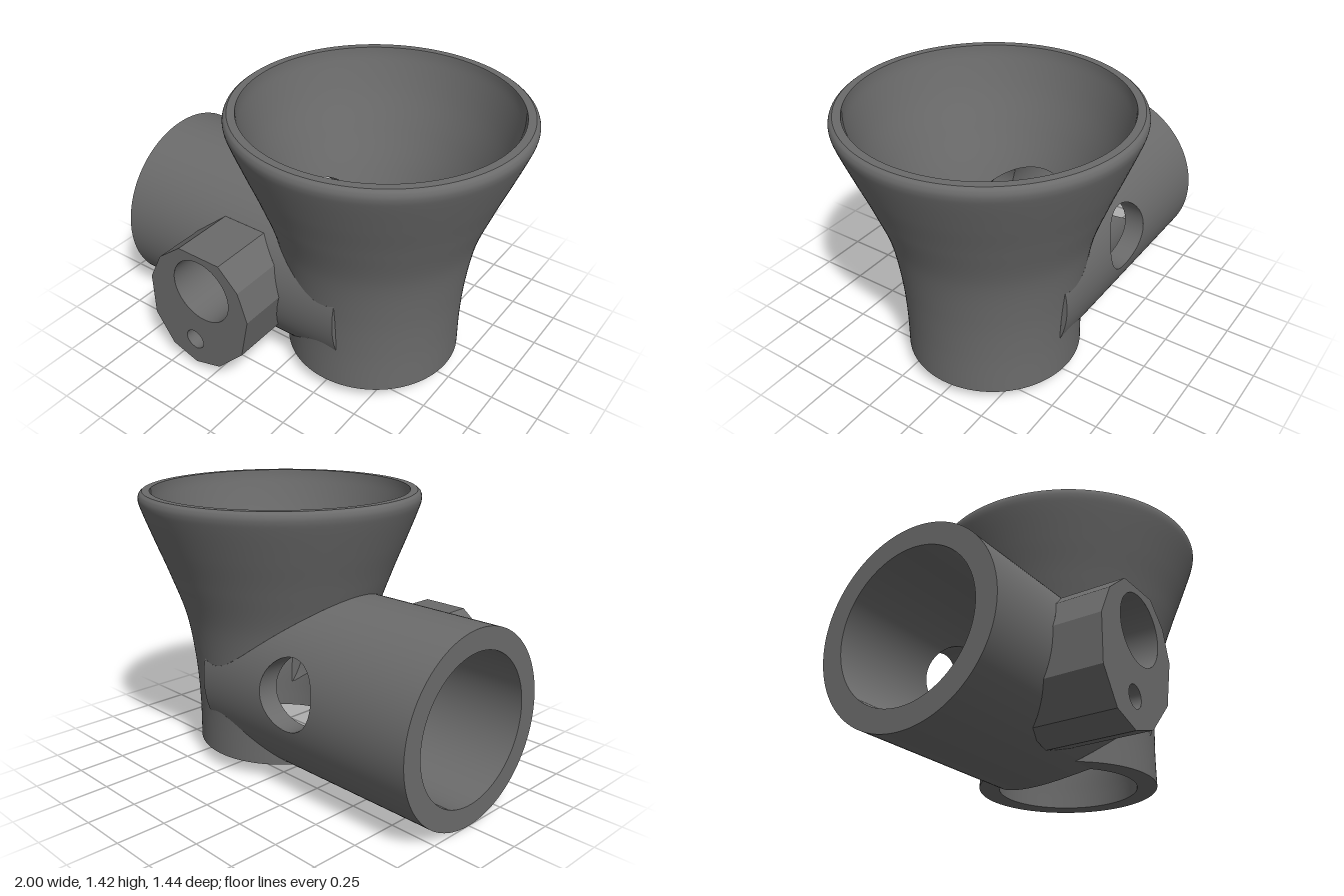
import * as THREE from 'three';
import { mergeGeometries } from 'three/addons/utils/BufferGeometryUtils.js';

const FX = 0.277;            // axis of the upright funnel (x)
const TY = 0.48;             // axis of the side tube (y)
const HOLE = [-0.26, 0.56];  // centre of the cross hole (x, y)
const PILOT = [-0.335, 0.215];

// Funnel profiles: radius, height
const spline = (pts) => new THREE.SplineCurve(pts.map((p) => new THREE.Vector2(...p))).getPoints(90);
const outerProfile = spline([[0.45, 0.08], [0.45, 0.3], [0.465, 0.53], [0.504, 0.775], [0.58, 1.0],
  [0.648, 1.175], [0.705, 1.325], [0.721, 1.38], [0.716, 1.41], [0.7, 1.425]]);
const innerProfile = spline([[0.35, 0], [0.35, 0.15], [0.35, 0.32], [0.37, 0.5], [0.4, 0.66], [0.455, 0.83],
  [0.53, 1.02], [0.6, 1.2], [0.65, 1.36], [0.662, 1.425]]);
function radiusAt(profile, y) {
  const i = profile.findIndex((p) => p.y >= y);
  if (i === 0) return profile[0].x;
  if (i < 0) return profile[profile.length - 1].x;
  const a = profile[i - 1], b = profile[i];
  return a.x + ((b.x - a.x) * (y - a.y)) / (b.y - a.y);
}

// Outline of the front boss, counter-clockwise
const bossOutline = [[-0.38, 0.77], [-0.52, 0.66], [-0.6, 0.505], [-0.6, 0.27], [-0.495, 0.11], [-0.34, 0.06],
  [-0.18, 0.11], [-0.02, 0.275], [0.03, 0.505], [-0.02, 0.66], [-0.13, 0.77]];
const BACK = 0.27, FRONT = 0.72;

// Solids as functions that are positive inside
const tubeSolid = (p) => Math.min(0.48 - Math.hypot(p.y - TY, p.z), 0.35 - p.x);
const tubeBore = (p) => Math.min(0.372 - Math.hypot(p.y - TY, p.z), 0.5 - p.x);
const funnelSolid = (p) => Math.min(radiusAt(outerProfile, p.y) - Math.hypot(p.x - FX, p.z), p.y - 0.08);
const funnelBore = (p) => radiusAt(innerProfile, p.y) - Math.hypot(p.x - FX, p.z);
const crossHole = (p) => 0.175 - Math.hypot(p.x - HOLE[0], p.y - HOLE[1]);
const bossShape = (p) => Math.min(...bossOutline.map((a, i) => {
  const b = bossOutline[(i + 1) % bossOutline.length];
  const dx = b[0] - a[0], dy = b[1] - a[1];
  return (dx * (p.y - a[1]) - dy * (p.x - a[0])) / Math.hypot(dx, dy);
}));
const bossSolid = (p) => Math.min(bossShape(p), p.z - BACK, FRONT - p.z);
const out = (f) => (p) => -f(p);
const either = (...fs) => (p) => Math.max(...fs.map((f) => f(p)));

// Keep only the part of a surface where every rule is positive
function trim(geo, ...rules) {
  const g = geo.index ? geo.toNonIndexed() : geo;
  const P = g.attributes.position, N = g.attributes.normal;
  let tris = [];
  for (let i = 0; i < P.count; i += 3) {
    tris.push([0, 1, 2].map((k) => ({
      p: new THREE.Vector3().fromBufferAttribute(P, i + k),
      n: new THREE.Vector3().fromBufferAttribute(N, i + k),
    })));
  }
  for (const rule of rules) {
    const kept = [];
    for (const t of tris) {
      const f = t.map((v) => rule(v.p));
      const poly = [];
      t.forEach((a, i) => {
        const j = (i + 1) % 3, b = t[j];
        if (f[i] >= 0) poly.push(a);
        if (f[i] >= 0 !== f[j] >= 0) {
          const s = f[i] / (f[i] - f[j]);
          poly.push({ p: a.p.clone().lerp(b.p, s), n: a.n.clone().lerp(b.n, s).normalize() });
        }
      });
      for (let k = 2; k < poly.length; k++) kept.push([poly[0], poly[k - 1], poly[k]]);
    }
    tris = kept;
  }
  const r = new THREE.BufferGeometry();
  const flat = (key) => new THREE.Float32BufferAttribute(tris.flat().flatMap((v) => v[key].toArray()), 3);
  r.setAttribute('position', flat('p'));
  r.setAttribute('normal', flat('n'));
  return r;
}

// Turn a surface inside out
function flip(geo) {
  const g = geo.toNonIndexed();
  for (const name of ['position', 'normal']) {
    const a = g.attributes[name], sign = name === 'normal' ? -1 : 1;
    for (let i = 0; i < a.count; i += 3) {
      const [u, v, w] = [0, 1, 2].map((k) => new THREE.Vector3().fromBufferAttribute(a, i + k).multiplyScalar(sign));
      [u, w, v].forEach((q, k) => a.setXYZ(i + k, q.x, q.y, q.z));
    }
  }
  return g;
}

// Open cylinder wall from a to b along the y axis
const wall = (r, a, b, rows, sides = 128) =>
  new THREE.CylinderGeometry(r, r, b - a, sides, rows, true).translate(0, (a + b) / 2, 0);
const alongX = (g) => g.rotateZ(-Math.PI / 2).translate(0, TY, 0);
const alongZ = (g, [x, y]) => g.rotateX(Math.PI / 2).translate(x, y, 0);
const ring = (r0, r1, rows) => new THREE.RingGeometry(r0, r1, 128, rows);

export function createModel() {
  const group = new THREE.Group();
  const grey = new THREE.MeshStandardMaterial({ color: 0x6b6b6b });
  grey.name = 'darkGrey';
  const add = (name, ...geos) => {
    const mesh = new THREE.Mesh(mergeGeometries(geos.map((g) => (g.index ? trim(g) : g))), grey);
    mesh.name = name;
    group.add(mesh);
  };

  // Flared funnel: outside, rim, and foot ring
  add('funnelOutside',
    trim(new THREE.LatheGeometry(outerProfile, 128).translate(FX, 0, 0),
      out(tubeSolid), out(tubeBore), out(crossHole), out(bossSolid)),
    trim(ring(0.662, 0.7, 1).rotateX(-Math.PI / 2).translate(FX, 1.425, 0)),
    trim(ring(0.35, 0.45, 6).rotateX(Math.PI / 2).translate(FX, 0.08, 0), out(tubeSolid)));

  // Funnel bore, running down through the side tube
  add('funnelInside',
    trim(flip(new THREE.LatheGeometry(innerProfile, 128).translate(FX, 0, 0)),
      out(tubeBore), out(crossHole), either(tubeSolid, funnelSolid)));

  // Side tube: outside, open end, and the blind end showing on the funnel
  add('tubeOutside',
    trim(alongX(wall(0.48, -1, 0.35, 60)), out(funnelSolid), out(funnelBore), out(crossHole), out(bossSolid)),
    trim(ring(0.372, 0.48, 1).rotateY(-Math.PI / 2).translate(-1, TY, 0)),
    trim(ring(0.3, 0.48, 16).rotateY(Math.PI / 2).translate(0.35, TY, 0),
      out(funnelSolid), out(funnelBore), out(tubeBore)));

  // Tube bore and its flat end
  add('tubeInside',
    trim(flip(alongX(wall(0.372, -1, 0.5, 60))), out(funnelBore), out(crossHole), either(tubeSolid, funnelSolid)),
    trim(ring(0.15, 0.372, 16).rotateY(-Math.PI / 2).translate(0.5, TY, 0), out(funnelBore), funnelSolid));

  // Faceted boss: front face with two holes, flat sides, back face
  const face = new THREE.Shape(bossOutline.map((p) => new THREE.Vector2(...p)));
  for (const [c, r] of [[HOLE, 0.175], [PILOT, 0.055]]) {
    face.holes.push(new THREE.Path().absarc(c[0], c[1], r, 0, Math.PI * 2, true));
  }
  const sides = bossOutline.map((a, i) => {
    const b = bossOutline[(i + 1) % bossOutline.length];
    const dx = b[0] - a[0], dy = b[1] - a[1];
    const side = new THREE.PlaneGeometry(Math.hypot(dx, dy), FRONT - BACK, 12, 24)
      .rotateX(-Math.PI / 2).rotateZ(Math.atan2(dy, dx) + Math.PI)
      .translate((a[0] + b[0]) / 2, (a[1] + b[1]) / 2, (FRONT + BACK) / 2);
    return trim(side, out(tubeSolid), out(funnelSolid), out(funnelBore));
  });
  const back = flip(new THREE.PlaneGeometry(0.7, 0.8, 70, 80).translate(-0.285, 0.41, BACK));
  add('boss', trim(new THREE.ShapeGeometry(face, 48).translate(0, 0, FRONT)), ...sides,
    trim(back, bossShape, out(tubeSolid), out(funnelSolid), out(funnelBore)));

  // Cross hole through the boss and both tube walls
  add('crossHole',
    trim(flip(alongZ(wall(0.175, -0.5, FRONT, 60, 64), HOLE)),
      out(tubeBore), out(funnelBore), either(tubeSolid, funnelSolid, bossSolid)));

  // Small blind hole in the boss
  add('pilotHole',
    trim(flip(alongZ(wall(0.055, 0.5, FRONT, 1, 48), PILOT))),
    trim(new THREE.CircleGeometry(0.055, 48).translate(PILOT[0], PILOT[1], 0.5)));

  return group;
}
